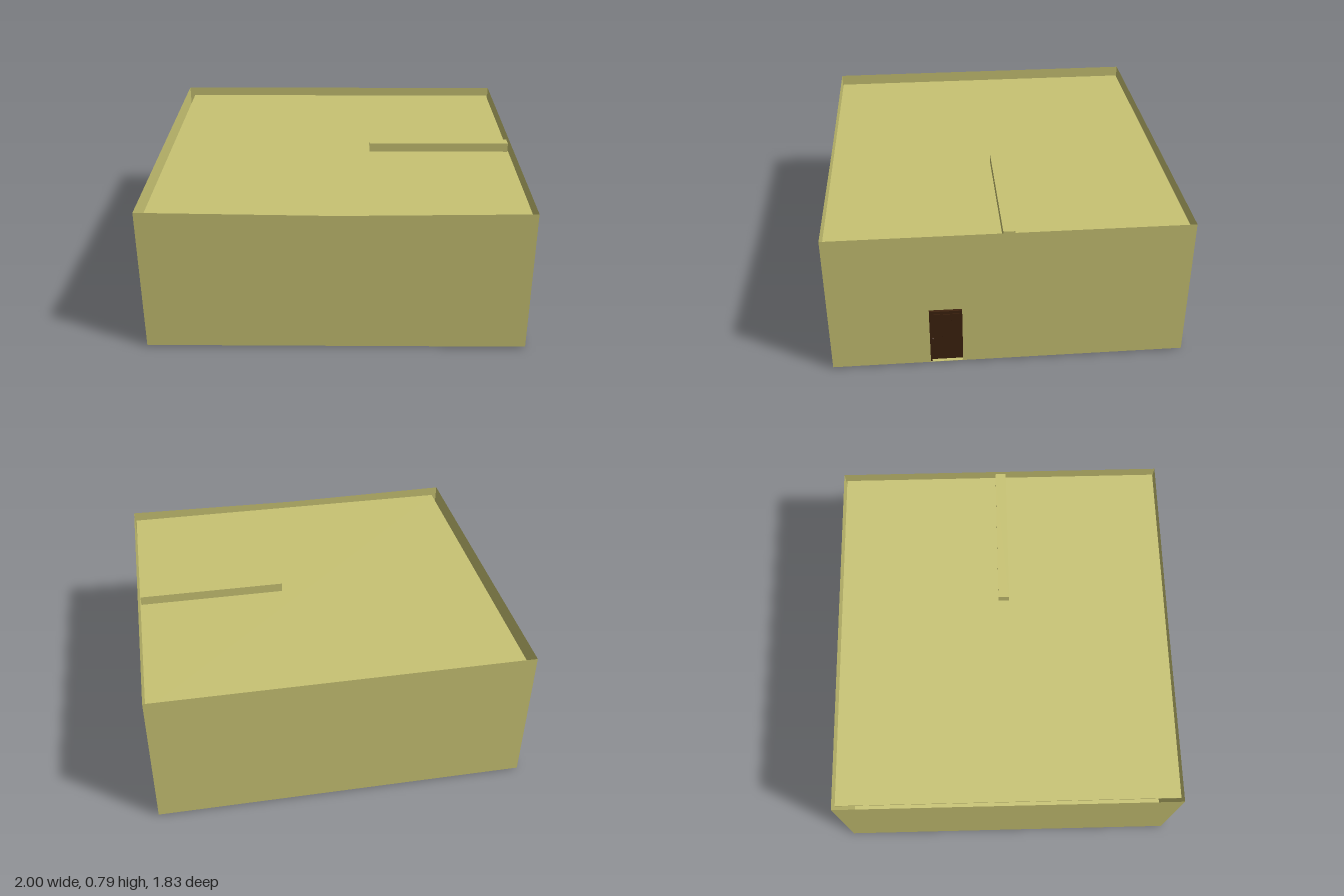
import * as THREE from 'three';

const LEFT = -1, RIGHT = 0.98, BACK = -0.922, FRONT = 0.912;
const BASE = 0.006, TOP = 0.785, ROOF = 0.735;

export function createModel() {
  const plaster = new THREE.MeshStandardMaterial({ color: 0xc8c373, side: THREE.DoubleSide });
  plaster.name = 'ochrePlaster';
  const wood = new THREE.MeshStandardMaterial({ color: 0x3d220f });
  wood.name = 'darkWood';

  const room = new THREE.Group();
  room.name = 'room';

  const add = (parent, name, geometry, material) => {
    const mesh = new THREE.Mesh(geometry, material);
    mesh.name = name;
    parent.add(mesh);
    return mesh;
  };
  // Box given by its lowest and highest corners
  const box = (parent, name, material, [x0, y0, z0], [x1, y1, z1]) => {
    const mesh = add(parent, name, new THREE.BoxGeometry(x1 - x0, y1 - y0, z1 - z0), material);
    mesh.position.set((x0 + x1) / 2, (y0 + y1) / 2, (z0 + z1) / 2);
    return mesh;
  };
  // Thin wall from a to b along its own width; midTop lets the top edge sag
  const wallShape = (a, b, midTop = TOP) => new THREE.Shape([
    new THREE.Vector2(a, BASE), new THREE.Vector2(b, BASE), new THREE.Vector2(b, TOP),
    new THREE.Vector2((a + b) / 2, midTop), new THREE.Vector2(a, TOP),
  ]);

  // Front and back walls
  add(room, 'frontWall', new THREE.ShapeGeometry(wallShape(LEFT, RIGHT, 0.772)), plaster).position.z = FRONT;
  const backWall = add(room, 'backWall', new THREE.ShapeGeometry(wallShape(-RIGHT, -LEFT)), plaster);
  backWall.rotation.y = Math.PI;
  backWall.position.z = BACK;

  // Side wall without an opening
  const plainWall = add(room, 'plainSideWall', new THREE.ShapeGeometry(wallShape(BACK, FRONT)), plaster);
  plainWall.rotation.y = -Math.PI / 2;
  plainWall.position.x = LEFT;

  // Side wall with the doorway cut out
  const doorShape = wallShape(-FRONT, -BACK);
  doorShape.holes.push(new THREE.Path([
    new THREE.Vector2(-0.405, 0.008), new THREE.Vector2(-0.405, 0.343),
    new THREE.Vector2(-0.238, 0.343), new THREE.Vector2(-0.238, 0.008),
  ]));
  const doorWall = add(room, 'doorSideWall', new THREE.ShapeGeometry(doorShape), plaster);
  doorWall.rotation.y = Math.PI / 2;
  doorWall.position.x = RIGHT;

  // Floor, and a roof set down inside the parapet
  box(room, 'floor', plaster, [LEFT, BASE, BACK], [RIGHT, BASE + 0.002, FRONT]);
  box(room, 'roof', plaster, [-0.97, ROOF - 0.01, -0.912], [0.97, ROOF, 0.905]);

  // Partition running from below the floor up through the roof
  box(room, 'partition', plaster, [0.175, 0, -0.03], [0.965, TOP, 0.03]);

  // Door with raised panels, hinge post and knob
  const door = new THREE.Group();
  door.name = 'door';
  room.add(door);
  box(door, 'doorLeaf', wood, [0.972, 0.03, 0.238], [0.987, 0.337, 0.405]);
  box(door, 'latchPost', wood, [0.975, 0.02, 0.397], [0.989, 0.342, 0.406]);
  for (const z of [0.27, 0.321, 0.372]) {
    box(door, 'doorPanel', wood, [0.985, 0.18, z - 0.022], [0.99, 0.32, z + 0.022]);
  }
  const knob = add(door, 'doorKnob', new THREE.SphereGeometry(0.007, 12, 8), wood);
  knob.position.set(0.993, 0.17, 0.392);

  // Panel hung on the inside of the plain wall
  box(room, 'hangingPanel', wood, [-0.985, 0.3, 0.39], [-0.974, 0.52, 0.53]);

  // Table, its feet set through the floor
  const table = new THREE.Group();
  table.name = 'table';
  room.add(table);
  for (const x of [-0.723, -0.41]) {
    for (const z of [-0.7, -0.157]) {
      box(table, 'tableLeg', wood, [x - 0.032, 0.002, z - 0.032], [x + 0.032, 0.2, z + 0.032]);
    }
  }
  box(table, 'tableTop', wood, [-0.8, 0.2, -0.78], [-0.33, 0.225, -0.08]);

  return room;
}
